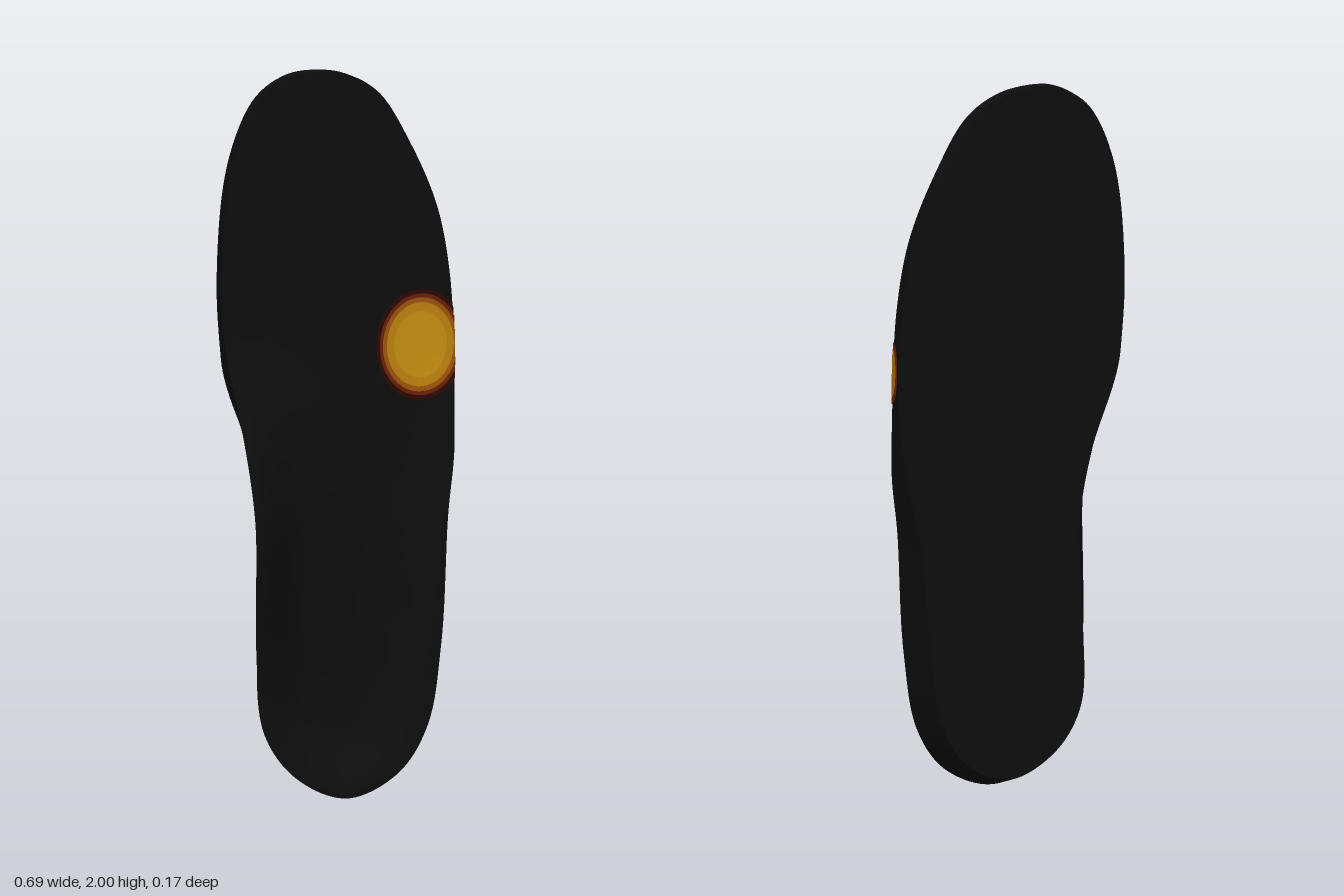
import * as THREE from 'three';

const BACK = -0.085, FLOOR = -0.05, N = 260;

// Outline of the insole, clockwise from the toe
const OUTLINE = [
  [-0.07, 2], [0.03, 1.985], [0.12, 1.93], [0.21, 1.79], [0.29, 1.61], [0.328, 1.42], [0.34, 1.18],
  [0.328, 0.94], [0.302, 0.76], [0.275, 0.41], [0.235, 0.19], [0.15, 0.065], [0, 0.003],
  [-0.15, 0.065], [-0.245, 0.19], [-0.275, 0.41], [-0.3, 0.78], [-0.325, 1.13], [-0.345, 1.44],
  [-0.312, 1.76], [-0.235, 1.93], [-0.15, 1.988],
];
const edge = new THREE.CatmullRomCurve3(
  OUTLINE.map(([x, y]) => new THREE.Vector3(x, y, 0)), true).getSpacedPoints(N).slice(0, N);

// Smooth interpolation through [y, value] pairs
function profile(pairs) {
  return (y) => {
    if (y <= pairs[0][0]) return pairs[0][1];
    for (let i = 1; i < pairs.length; i++) {
      const [y0, a] = pairs[i - 1], [y1, b] = pairs[i];
      if (y <= y1) {
        const m = (k) => (k < 1 || k > pairs.length - 2) ? 0
          : (pairs[k + 1][1] - pairs[k - 1][1]) / (pairs[k + 1][0] - pairs[k - 1][0]);
        const h = y1 - y0, t = (y - y0) / h, t2 = t * t, t3 = t2 * t;
        return a * (2 * t3 - 3 * t2 + 1) + b * (3 * t2 - 2 * t3)
          + h * (m(i - 1) * (t3 - 2 * t2 + t) + m(i) * (t3 - t2));
      }
    }
    return pairs[pairs.length - 1][1];
  };
}
// Rim heights above the floor, and how far the underside is drawn in
const cupRim = profile([[0.35, 0.066], [0.55, 0.062], [0.76, 0.05], [0.92, 0.035], [1.05, 0.015], [1.22, 0]]);
const archRim = profile([[0.28, 0.066], [0.42, 0.08], [0.545, 0.1], [0.76, 0.131], [0.89, 0.12],
  [1.07, 0.07], [1.18, 0.022], [1.32, 0]]);
const archInset = profile([[0.05, 0.04], [0.3, 0.055], [0.7, 0.09], [0.95, 0.065], [1.22, 0]]);
const sideInset = profile([[0.05, 0.04], [0.6, 0.035], [1.2, 0]]);

// Edge x at a height, on the given side
function edgeX(y, side) {
  for (let i = 0; i < N; i++) {
    const a = edge[i], b = edge[(i + 1) % N];
    if ((a.y - b.y) * side > 0 && (a.y - y) * (b.y - y) <= 0)
      return a.x + (b.x - a.x) * (y - a.y) / (b.y - a.y);
  }
  return 0;
}

// Foot-side surface: flat forefoot, heel cup and arch support
function surface(x, y) {
  if (y > 1.33) return FLOOR;
  let d = Infinity;
  for (const p of edge) d = Math.min(d, (p.x - x) ** 2 + (p.y - y) ** 2);
  const cup = 1 - THREE.MathUtils.smoothstep(Math.sqrt(d), 0.005, 0.17);
  const across = Math.max(0, x - edgeX(Math.max(y, 0.01), -1) - 0.025);
  const arch = 1 - THREE.MathUtils.smootherstep(across, -0.25, 0.5);
  const archScale = 1 / (1 - THREE.MathUtils.smootherstep(0, -0.25, 0.5));
  return FLOOR + cupRim(y) * cup + (archRim(y) - cupRim(y)) * Math.min(1, arch * archScale);
}

// Sheet from a rule (i, j) -> [x, y, z]; closed along j when asked
function sheet(name, material, rows, cols, closed, rule) {
  const pos = [], idx = [], w = closed ? cols : cols + 1;
  for (let i = 0; i <= rows; i++) for (let j = 0; j < w; j++) pos.push(...rule(i, j));
  for (let i = 0; i < rows; i++) for (let j = 0; j < cols; j++) {
    const k = (j + 1) % w, a = i * w + j, b = a + w, c = (i + 1) * w + k, d = i * w + k;
    idx.push(a, c, b, a, d, c);
  }
  const g = new THREE.BufferGeometry();
  g.setAttribute('position', new THREE.Float32BufferAttribute(pos, 3));
  g.setIndex(idx);
  g.computeVertexNormals();
  const mesh = new THREE.Mesh(g, material);
  mesh.name = name;
  return mesh;
}

export function createModel() {
  const group = new THREE.Group();
  group.name = 'insole';
  const black = new THREE.MeshStandardMaterial({ color: 0x0d0d0d });

  // Ribs run from a central spine to the outline
  const spine = edge.map((p) => new THREE.Vector2(-0.03 * p.y / 2, 0.28 + p.y * 0.72));
  const base = edge.map((p, j) => {
    const c = spine[j], t = THREE.MathUtils.smoothstep(p.x, -0.2, 0.2);
    const inset = THREE.MathUtils.lerp(archInset(p.y), sideInset(p.y), t);
    const s = 1 - inset / Math.hypot(p.x - c.x, p.y - c.y);
    return new THREE.Vector2(c.x + (p.x - c.x) * s, c.y + (p.y - c.y) * s);
  });
  const rib = (from, to, s) => [from.x + (to.x - from.x) * s, from.y + (to.y - from.y) * s];

  const rings = 32;
  group.add(sheet('footSurface', black, rings, N, true, (i, j) => {
    const [x, y] = rib(spine[j], edge[j], i / rings);
    return [x, y, surface(x, y)];
  }));

  // Side wall tapering in towards the underside
  const rimZ = edge.map((p) => surface(p.x, p.y));
  group.add(sheet('sideWall', black, 4, N, true, (i, j) => {
    const s = i / 4;
    return [...rib(edge[j], base[j], s), THREE.MathUtils.lerp(rimZ[j], BACK, s)];
  }));

  group.add(sheet('underside', black, 2, N, true, (i, j) => [...rib(base[j], spine[j], i / 2), BACK]));

  // Glowing pad mark: nested bands from dark red to amber
  const mark = new THREE.Group();
  mark.name = 'padMark';
  const bands = [[0, 0.6, 0xc48f12], [0.6, 0.76, 0xbc8010], [0.76, 0.85, 0x9c540c],
    [0.85, 0.92, 0x6a2008], [0.92, 1, 0x2c0804]];
  bands.forEach(([r0, r1, color], n) => {
    const mat = new THREE.MeshStandardMaterial({ color });
    mark.add(sheet('padBand' + (n + 1), mat, n ? 2 : 10, 64, true, (i, j) => {
      const r = r0 + (r1 - r0) * i / (n ? 2 : 10), a = -j / 64 * Math.PI * 2;
      const y = 1.23 + 0.152 * r * Math.sin(a);
      const x = Math.min(0.24 + 0.13 * r * Math.cos(a), edgeX(y, 1) + 0.001);
      return [x, y, surface(x, y) + 0.003];
    }));
  });

  // Mark carried over the side wall
  [[0.09, 0.03, 0x6a2008, 0.0015], [0.07, 0.022, 0xb0700e, 0.003]].forEach(([half, depth, color, out], n) => {
    const mat = new THREE.MeshStandardMaterial({ color, side: THREE.DoubleSide });
    mark.add(sheet('padSide' + (n + 1), mat, 1, 20, false, (i, j) => {
      const t = j / 10 - 1, y = 1.235 + half * t, x = edgeX(y, 1);
      return [x + out, y, surface(x, y) + 0.002 - i * depth * Math.sqrt(Math.max(0, 1 - t * t))];
    }));
  });
  group.add(mark);
  return group;
}
